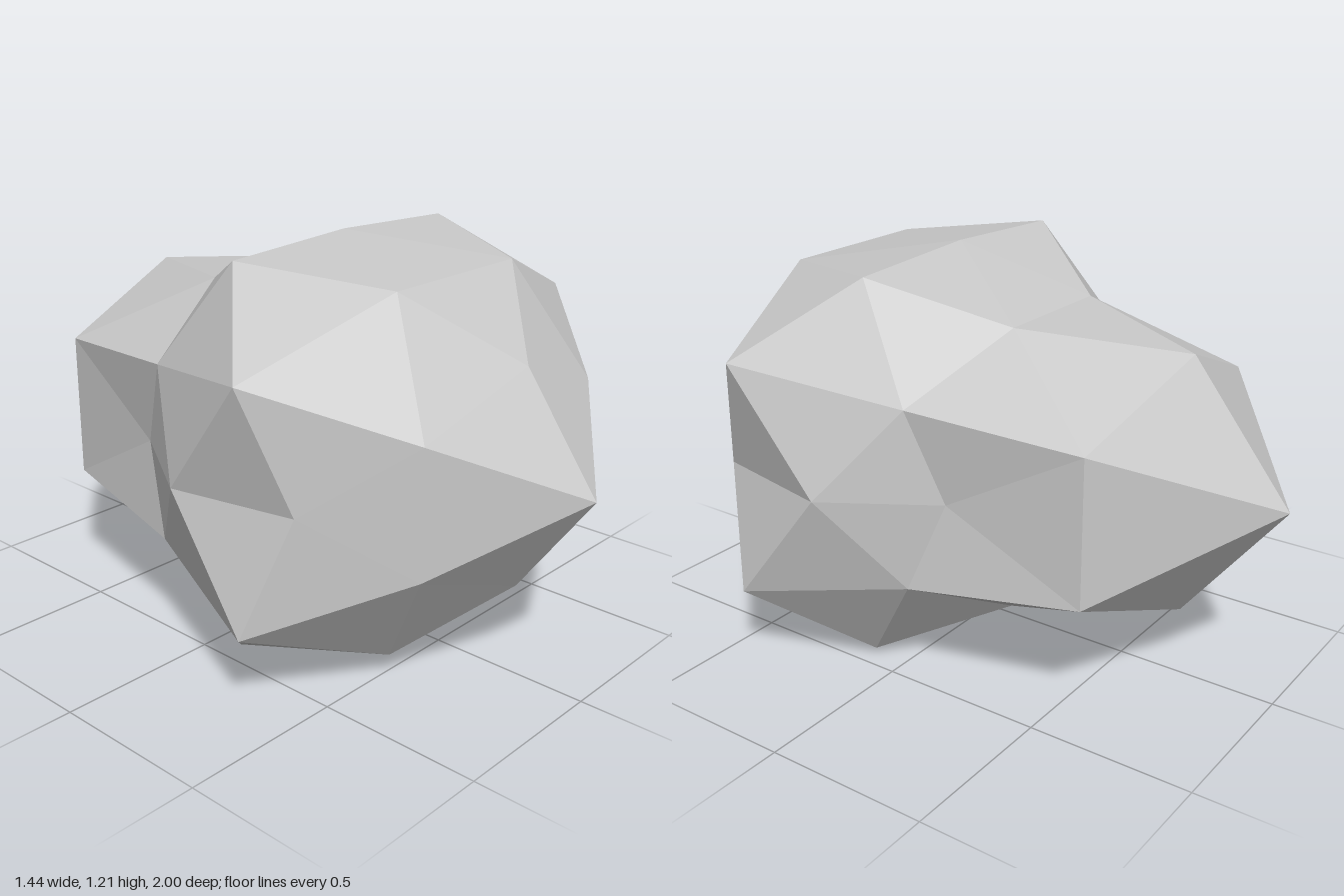
import * as THREE from 'three';

// Each row: direction on a unit ball (|x|, |y|, z) and where that corner of the rock sits
// (|x|, height above or below the middle, z). Both halves are mirrored in x and y.
const CORNERS = [
  // front
  [[0, 0, 1], [0, 0, 1]],
  [[0, 0.526, 0.851], [0, 0.325, 0.765]],
  [[0.5, 0.309, 0.809], [0.383, 0.191, 0.722]],
  [[0.309, 0.809, 0.5], [0.258, 0.535, 0.52]],
  [[0.851, 0, 0.526], [0.617, 0, 0.49]],
  [[0.809, 0.5, 0.309], [0.718, 0.355, 0.38]],
  // middle
  [[0, 1, 0], [0, 0.603, 0.105]],
  [[0.526, 0.851, 0], [0.448, 0.583, 0.105]],
  [[1, 0, 0], [0.697, 0, 0.105]],
  // back
  [[0.809, 0.5, -0.309], [0.547, 0.27, -0.107]],
  [[0.851, 0, -0.526], [0.5, 0, -0.21]],
  [[0.309, 0.809, -0.5], [0.205, 0.438, -0.23]],
  [[0.5, 0.309, -0.809], [0.448, 0.222, -0.617]],
  [[0, 0.526, -0.851], [0, 0.394, -0.69]],
  [[0, 0, -1], [0, 0, -1]],
].map(([from, to]) => ({ from: new THREE.Vector3(...from), to: new THREE.Vector3(...to) }));

const MIDDLE = 0.603;

// Move every corner of a subdivided icosahedron to its place on the rock
function rockGeometry() {
  const geometry = new THREE.IcosahedronGeometry(1, 1);
  const position = geometry.attributes.position;
  const p = new THREE.Vector3();
  const folded = new THREE.Vector3();
  for (let i = 0; i < position.count; i++) {
    p.fromBufferAttribute(position, i);
    folded.set(Math.abs(p.x), Math.abs(p.y), p.z);
    let best = CORNERS[0];
    for (const corner of CORNERS) {
      if (corner.from.distanceTo(folded) < best.from.distanceTo(folded)) best = corner;
    }
    const { to } = best;
    position.setXYZ(i, Math.sign(p.x) * to.x, MIDDLE + Math.sign(p.y) * to.y, to.z);
  }
  geometry.computeVertexNormals();
  return geometry;
}

export function createModel() {
  const group = new THREE.Group();
  group.name = 'boulder';

  const stone = new THREE.MeshStandardMaterial({ color: 0xc8c8c8, flatShading: true });
  stone.name = 'pale grey stone';

  const rock = new THREE.Mesh(rockGeometry(), stone);
  rock.name = 'rock';
  group.add(rock);
  return group;
}
